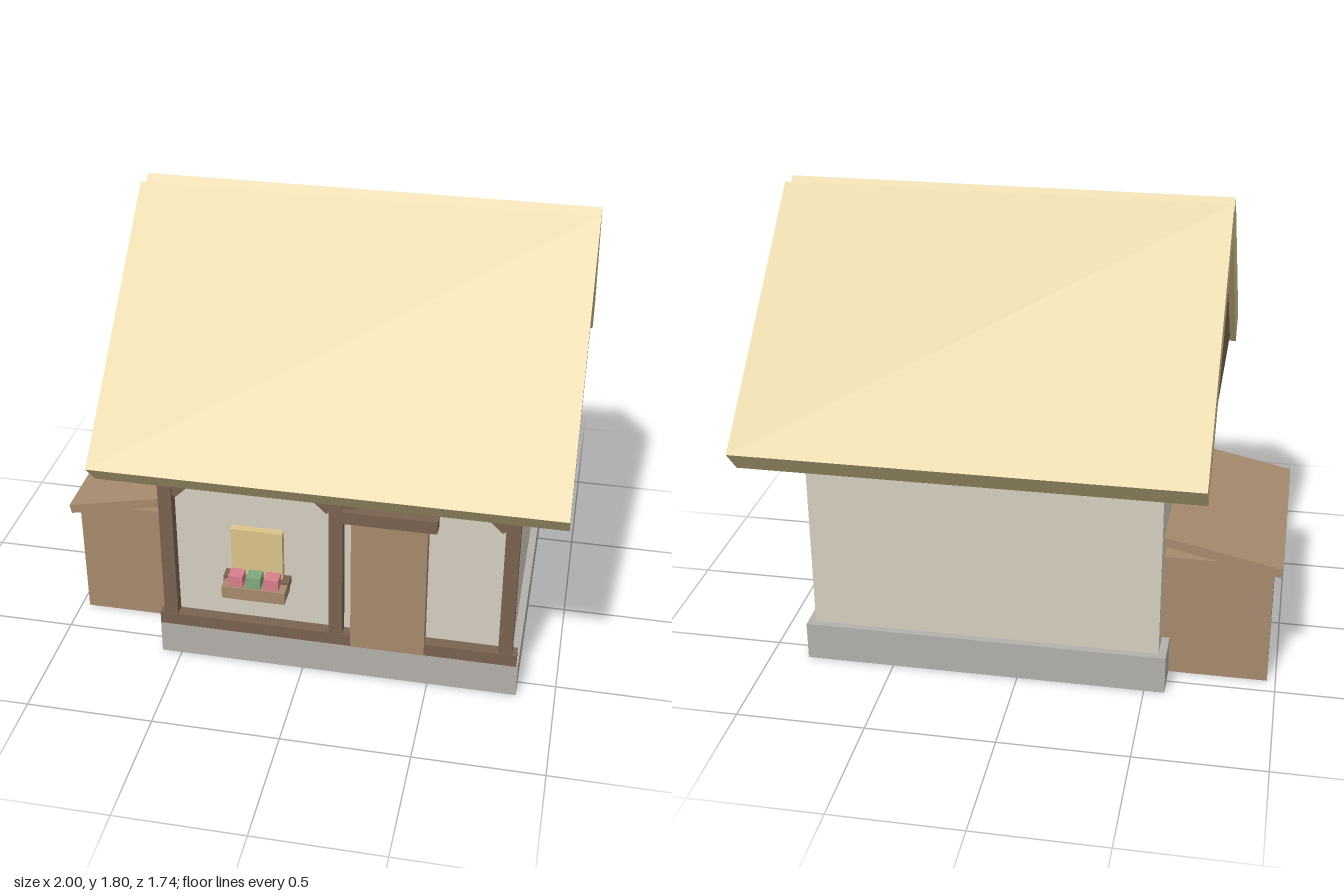
import * as THREE from 'three';

const mat = (color) => new THREE.MeshStandardMaterial({ color });

export function createModel() {
  const model = new THREE.Group();
  const thatch = mat(0xd6c48f), plaster = mat(0xd6cfc0), stone = mat(0xb3b0ab);
  const timber = mat(0x7a6250), wood = mat(0xa68a6d), glow = mat(0xdcc48a);
  const pink = mat(0xd67f8c), green = mat(0x7fa87c);

  // Box given by its extents along each axis
  function box(name, material, [x0, x1], [y0, y1], [z0, z1], parent = model) {
    const mesh = new THREE.Mesh(new THREE.BoxGeometry(x1 - x0, y1 - y0, z1 - z0), material);
    mesh.position.set((x0 + x1) / 2, (y0 + y1) / 2, (z0 + z1) / 2);
    mesh.name = name;
    parent.add(mesh);
    return mesh;
  }

  // Body of the house
  box('foundation', stone, [-0.58, 0.85], [0, 0.155], [-0.58, 0.58]);
  box('walls', plaster, [-0.55, 0.82], [0.155, 0.98], [-0.55, 0.55]);

  // Gable prism filling the roof, running along x
  const triangle = new THREE.Shape([
    new THREE.Vector2(-0.725, 0.98), new THREE.Vector2(0.725, 0.98), new THREE.Vector2(0, 1.663),
  ]);
  const gable = new THREE.Mesh(
    new THREE.ExtrudeGeometry(triangle, { depth: 1.675, bevelEnabled: false }), timber);
  gable.rotation.y = Math.PI / 2;
  gable.position.x = -0.7;
  gable.name = 'gable';
  model.add(gable);

  // Two thatched slabs crossing at the ridge
  for (const side of [1, -1]) {
    const slab = new THREE.Mesh(new THREE.BoxGeometry(1.725, 0.13, 1.132), thatch);
    slab.position.set(0.1375, 1.37, side * 0.4125);
    slab.rotation.x = side * Math.atan2(0.775, 0.825);
    slab.name = side > 0 ? 'frontRoof' : 'backRoof';
    model.add(slab);
  }

  // Timber frame on the front wall
  const frame = new THREE.Group();
  frame.name = 'timberFrame';
  model.add(frame);
  box('sillBeam', timber, [-0.573, 0.843], [0.155, 0.207], [0.545, 0.598], frame);
  box('topPlate', timber, [-0.555, 0.825], [0.935, 0.98], [0.545, 0.59], frame);
  for (const x of [-0.528, 0.135, 0.798]) {
    box('post', timber, [x - 0.027, x + 0.027], [0.155, 0.98], [0.545, 0.595], frame);
  }
  // Diagonal braces: foot x on the post and leaning direction
  for (const [x, dir] of [[-0.5, 1], [0.108, -1], [0.162, 1], [0.77, -1]]) {
    const brace = new THREE.Mesh(new THREE.BoxGeometry(0.27, 0.046, 0.036), timber);
    brace.position.set(x + dir * 0.09, 0.867, 0.566);
    brace.rotation.z = dir * Math.PI / 4;
    brace.name = 'brace';
    frame.add(brace);
  }

  // Door
  box('door', wood, [0.195, 0.485], [0.155, 0.74], [0.545, 0.6]);
  box('doorLintel', timber, [0.16, 0.52], [0.735, 0.788], [0.545, 0.606]);

  // Window with flower box
  box('window', glow, [-0.277, -0.075], [0.39, 0.635], [0.545, 0.58]);
  box('windowSill', timber, [-0.307, -0.047], [0.397, 0.425], [0.545, 0.6]);
  box('flowerBox', wood, [-0.3, -0.052], [0.362, 0.415], [0.56, 0.656]);
  [-0.246, -0.176, -0.106].forEach((x, i) => {
    box('flower', i === 1 ? green : pink, [x - 0.028, x + 0.028], [0.41, 0.465], [0.595, 0.65]);
  });

  // Lean-to shed on the right side
  box('shed', wood, [-0.967, -0.545], [0, 0.515], [-0.43, 0.355]);
  const tilt = Math.atan2(0.095, 0.45);
  const shedRoof = new THREE.Mesh(new THREE.BoxGeometry(0.48, 0.038, 0.855), wood);
  shedRoof.position.set(-0.761, 0.555, -0.038);
  shedRoof.rotation.z = tilt;
  shedRoof.name = 'shedRoof';
  model.add(shedRoof);

  return model;
}
